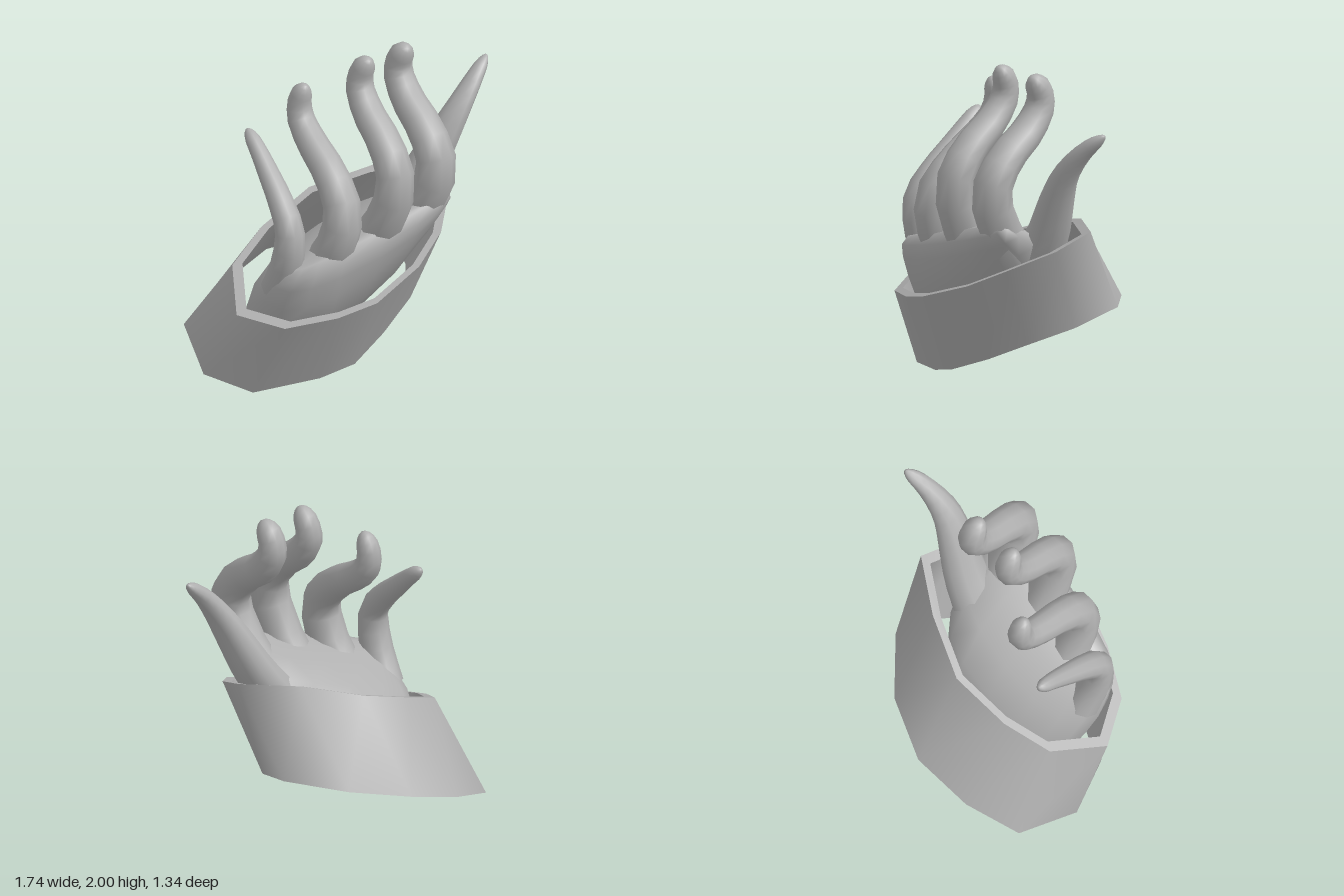
import * as THREE from 'three';

// Skin of quads between successive rings of points, with optional end fans
function loft(rings, capStart = false, capEnd = false) {
  const n = rings[0].length, pos = [], idx = [];
  rings.forEach(r => r.forEach(p => pos.push(p.x, p.y, p.z)));
  for (let i = 0; i < rings.length - 1; i++) {
    for (let j = 0; j < n; j++) {
      const a = i * n + j, b = i * n + (j + 1) % n, c = a + n, d = b + n;
      idx.push(a, c, b, b, c, d);
    }
  }
  const fan = (ring, base, flip) => {
    const m = centre(ring), k = pos.length / 3;
    pos.push(m.x, m.y, m.z);
    for (let j = 0; j < n; j++) {
      const a = base + j, b = base + (j + 1) % n;
      if (flip) idx.push(k, a, b); else idx.push(k, b, a);
    }
  };
  if (capStart) fan(rings[0], 0, true);
  if (capEnd) fan(rings[rings.length - 1], (rings.length - 1) * n, false);
  const g = new THREE.BufferGeometry();
  g.setAttribute('position', new THREE.Float32BufferAttribute(pos, 3));
  g.setIndex(idx);
  g.computeVertexNormals();
  return g;
}

const vec = a => new THREE.Vector3(...a);
const centre = loop => loop.reduce((s, p) => s.add(p), new THREE.Vector3()).divideScalar(loop.length);

// Ellipse-like ring; power below 1 makes it boxier
function ring(c, u, v, n, power = 1) {
  const soft = s => Math.sign(s) * Math.abs(s) ** power;
  return Array.from({ length: n }, (_, j) => {
    const t = (j / n) * Math.PI * 2;
    return c.clone().addScaledVector(u, soft(Math.cos(t))).addScaledVector(v, soft(Math.sin(t)));
  });
}

// Tapering finger along a smooth path, with a rounded tip
function finger(points, r0, r1, depth = 1) {
  const curve = new THREE.CatmullRomCurve3(points.map(vec));
  const steps = [0, .08, .16, .24, .32, .4, .48, .56, .64, .72, .8, .87, .92, .96, .985, .997];
  const rings = steps.map(t => {
    const d = curve.getTangent(t);
    const u = new THREE.Vector3(1, 0, 0).addScaledVector(d, -d.x).normalize();
    const v = u.clone().cross(d);
    const e = Math.max(0, (t - 0.9) / 0.1);
    const r = THREE.MathUtils.lerp(r0, r1, t) * Math.sqrt(1 - e * e);
    return ring(curve.getPoint(t), u.multiplyScalar(r), v.multiplyScalar(r * depth), 10);
  });
  return loft(rings, false, true);
}

export function createModel() {
  const model = new THREE.Group();
  const grey = new THREE.MeshStandardMaterial({ color: 0xb0b0b0 });
  grey.name = 'plain grey';
  const add = (name, geometry, parent = model) => {
    const mesh = new THREE.Mesh(geometry, grey);
    mesh.name = name;
    parent.add(mesh);
  };

  // Sleeve cuff: slanted twelve-sided tube with a thick wall
  const top = [[.61, 1.09, .09], [.54, 1.0, .31], [.33, .88, .51], [.1, .76, .6], [-.23, .635, .63],
    [-.45, .567, .54], [-.71, .51, .37], [-.85, .53, .09], [-.66, .68, -.2], [-.38, .81, -.285],
    [-.02, .95, -.3], [.32, 1.06, -.13]].map(vec);
  const bottom = [[.53, .545, -.22], [.45, .46, .06], [.28, .37, .28], [.03, .245, .35], [-.22, .14, .4],
    [-.42, .08, .33], [-.76, .01, .13], [-.87, .03, -.2], [-.74, .17, -.56], [-.42, .29, -.665],
    [-.06, .42, -.68], [.28, .5, -.51]].map(vec);
  const inset = (loop, f) => loop.map(p => centre(loop).lerp(p, f));
  const topIn = inset(top, .91), bottomIn = inset(bottom, .95);
  const cuff = new THREE.Group();
  cuff.name = 'cuff';
  model.add(cuff);
  add('cuffOuterWall', loft([bottom, top]), cuff);
  add('cuffTopRim', loft([top, topIn]), cuff);
  add('cuffInnerWall', loft([topIn, bottomIn]), cuff);
  add('cuffBottomRim', loft([bottomIn, bottom]), cuff);

  // Wrist and palm: sections from the sleeve up to the knuckles [centre, half width, half depth]
  const sections = [
    [[-.21, .23, -.1], [.24, .09, 0], [0, -.03, .14]],
    [[-.23, .28, -.08], [.38, .14, 0], [0, -.05, .23]],
    [[-.2, .44, -.01], [.44, .17, .01], [0, -.06, .29]],
    [[-.17, .64, .12], [.51, .19, .03], [0, -.07, .31]],
    [[-.16, .8, .24], [.545, .2, .07], [0, -.06, .27]],
    [[-.155, .91, .36], [.54, .18, .1], [0, -.04, .19]],
    [[-.15, .98, .43], [.52, .17, .11], [0, -.02, .13]],
    [[-.15, 1.02, .46], [.47, .16, .11], [0, 0, .06]],
  ];
  add('palm', loft(sections.map(([c, u, v]) => ring(vec(c), vec(u), vec(v), 16, .85)), true, true));

  // Fingers, curling forward and then back to upright tips
  add('indexFinger', finger([[.19, .84, .27], [.235, 1.06, .44], [.26, 1.35, .56], [.265, 1.53, .46],
    [.27, 1.66, .28], [.275, 1.78, .18], [.28, 1.88, .17], [.285, 2.0, .245]], .14, .07));
  add('middleFinger', finger([[-.09, .76, .26], [-.06, 1.0, .44], [-.04, 1.33, .56], [-.03, 1.52, .46],
    [-.02, 1.66, .28], [-.01, 1.78, .18], [0, 1.88, .17], [.01, 2.0, .235]], .135, .065));
  add('ringFinger', finger([[-.37, .68, .2], [-.345, .92, .37], [-.33, 1.18, .43], [-.31, 1.35, .3],
    [-.3, 1.48, .11], [-.29, 1.59, -.02], [-.285, 1.7, -.045], [-.28, 1.825, 0]], .135, .06));
  add('littleFinger', finger([[-.59, .66, .16], [-.605, .86, .255], [-.605, 1.08, .28], [-.59, 1.23, .17],
    [-.575, 1.35, .04], [-.565, 1.45, -.07], [-.56, 1.55, -.19]], .11, .04));

  // Thumb, leaning outward to a narrow tip
  add('thumb', finger([[.22, .82, .17], [.38, 1.06, .21], [.5, 1.3, .26], [.6, 1.48, .29],
    [.73, 1.64, .28], [.87, 1.765, .24]], .14, .03, 1.2));
  return model;
}
